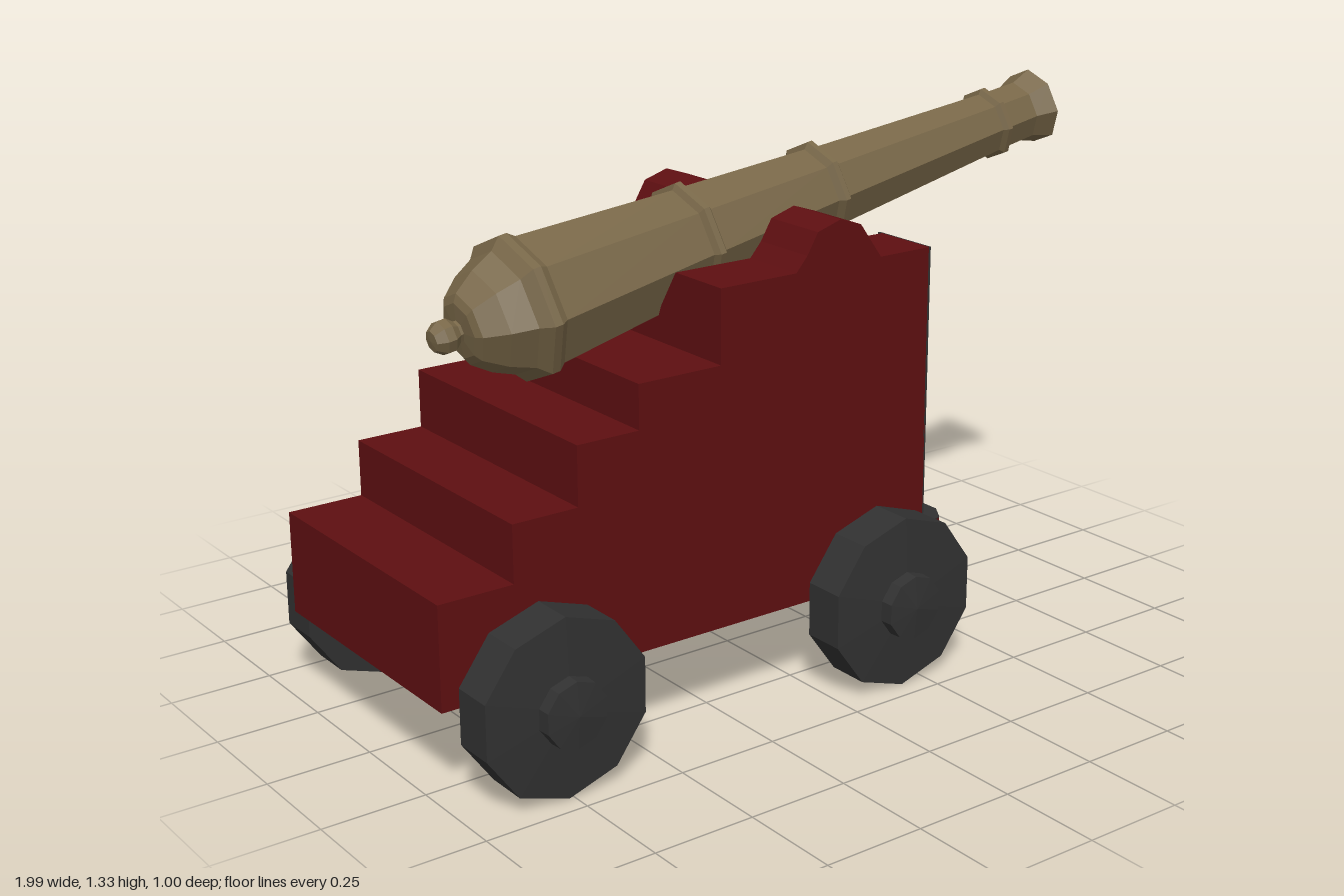
import * as THREE from 'three';

const material = (name, color) => Object.assign(new THREE.MeshStandardMaterial({ color }), { name });

// Faceted mesh: unshared vertices give each face its own normal
function addPart(parent, name, geometry, mat) {
  const flat = geometry.index ? geometry.toNonIndexed() : geometry;
  flat.computeVertexNormals();
  const mesh = new THREE.Mesh(flat, mat);
  mesh.name = name;
  parent.add(mesh);
  return mesh;
}

const toVectors = (points) => points.map(([x, y]) => new THREE.Vector2(x, y));
const lathe = (points, sides) => new THREE.LatheGeometry(toVectors(points), sides);
const extrude = (points, depth) =>
  new THREE.ExtrudeGeometry(new THREE.Shape(toVectors(points)), { depth, bevelEnabled: false });

export function createModel() {
  const model = new THREE.Group();
  model.name = 'cannon';
  const red = material('darkRedPaint', 0x5e0f11);
  const grey = material('darkGreyIron', 0x313131);
  const bronze = material('agedBronze', 0x776647);

  // Carriage
  const carriage = new THREE.Group();
  carriage.name = 'carriage';
  model.add(carriage);
  const halfWidth = 0.335, front = 0.335, floor = 0.225;

  // Stepped lower body
  const body = extrude([
    [-1, floor], [front, floor], [front, 0.85], [-0.49, 0.85], [-0.49, 0.745], [-0.65, 0.745],
    [-0.65, 0.605], [-0.815, 0.605], [-0.815, 0.47], [-1, 0.47],
  ], halfWidth * 2).translate(0, 0, -halfWidth);
  addPart(carriage, 'steppedBody', body, red);

  // Upper block with the groove that cradles the barrel
  const cradle = extrude([
    [-halfWidth, 0.85], [halfWidth, 0.85], [halfWidth, 1.025], [0.167, 1.025], [0.1, 0.92],
    [0, 0.86], [-0.1, 0.92], [-0.167, 1.025], [-halfWidth, 1.025],
  ], front + 0.27).rotateY(Math.PI / 2).translate(-0.27, 0, 0);
  addPart(carriage, 'cradle', cradle, red);

  // Front lip with clipped corners
  const lip = extrude([
    [front, -halfWidth], [0.41, -0.315], [0.44, -0.27], [0.44, 0.27], [0.41, 0.315], [front, halfWidth],
  ], 0.105).rotateX(-Math.PI / 2).translate(0, floor, 0);
  addPart(carriage, 'frontLip', lip, red);

  for (const [side, sign] of [['left', 1], ['right', -1]]) {
    // Rounded hump on each cheek
    const hump = extrude([
      [-0.065, 1.02], [0.19, 1.02], [0.125, 1.11], [0.065, 1.13], [0, 1.11], [-0.03, 1.06],
    ], 0.168).translate(0, 0, sign > 0 ? 0.167 : -halfWidth);
    addPart(carriage, side + 'Hump', hump, red);

    // Grey bands on the front face and on top of the lip
    const band = new THREE.BoxGeometry(0.006, 0.693, 0.18).translate(front + 0.001, 0.6785, sign * 0.245);
    addPart(carriage, side + 'FrontBand', band, grey);
    const corner = [[front, 0.155], [0.44, 0.155], [0.44, 0.27], [0.41, 0.315], [front, halfWidth]];
    const cornerPlate = extrude(corner.map(([x, z]) => [x, -sign * z]), 0.004)
      .rotateX(-Math.PI / 2).translate(0, 0.329, 0);
    addPart(carriage, side + 'LipBand', cornerPlate, grey);

    // Ten-sided wheels with hubs; a short axle stub meets the body
    for (const [end, x] of [['Rear', -0.762], ['Front', 0.181]]) {
      const wheel = new THREE.Group();
      wheel.name = side + end + 'Wheel';
      wheel.position.set(x, 0.211, 0);
      wheel.rotation.x = sign * Math.PI / 2;
      carriage.add(wheel);
      addPart(wheel, 'disc', lathe([
        [0, 0.345], [0.211, 0.345], [0.211, 0.45], [0.08, 0.458], [0, 0.458],
      ], 10), grey);
      addPart(wheel, 'hub', lathe([[0.08, 0.45], [0.078, 0.49], [0, 0.498]], 10), grey);
      addPart(wheel, 'axle', lathe([[0.05, 0.3], [0.05, 0.35]], 10), grey);
    }
  }

  // Barrel: eight sides, tilted up ten degrees, closed bore at the muzzle
  const barrel = new THREE.Group();
  barrel.name = 'barrel';
  barrel.position.set(-0.77, 0.925, 0);
  barrel.rotation.z = THREE.MathUtils.degToRad(10 - 90);
  model.add(barrel);
  addPart(barrel, 'knob', lathe([
    [0, -0.032], [0.025, -0.03], [0.04, -0.008], [0.04, 0.012], [0.026, 0.03], [0.026, 0.06],
  ], 8), bronze);
  addPart(barrel, 'tube', lathe([
    [0, 0.035], [0.066, 0.04], [0.085, 0.05], [0.122, 0.1], [0.148, 0.155],
    [0.175, 0.18], [0.175, 0.2], [0.161, 0.22],
    [0.131, 0.645], [0.145, 0.655], [0.145, 0.67], [0.13, 0.68],
    [0.109, 1.035], [0.124, 1.047], [0.124, 1.06], [0.105, 1.073],
    [0.08, 1.6], [0.092, 1.609], [0.092, 1.622], [0.079, 1.632],
    [0.077, 1.72], [0.096, 1.775], [0.044, 1.775], [0.044, 1.55], [0, 1.55],
  ], 8), bronze);

  return model;
}
